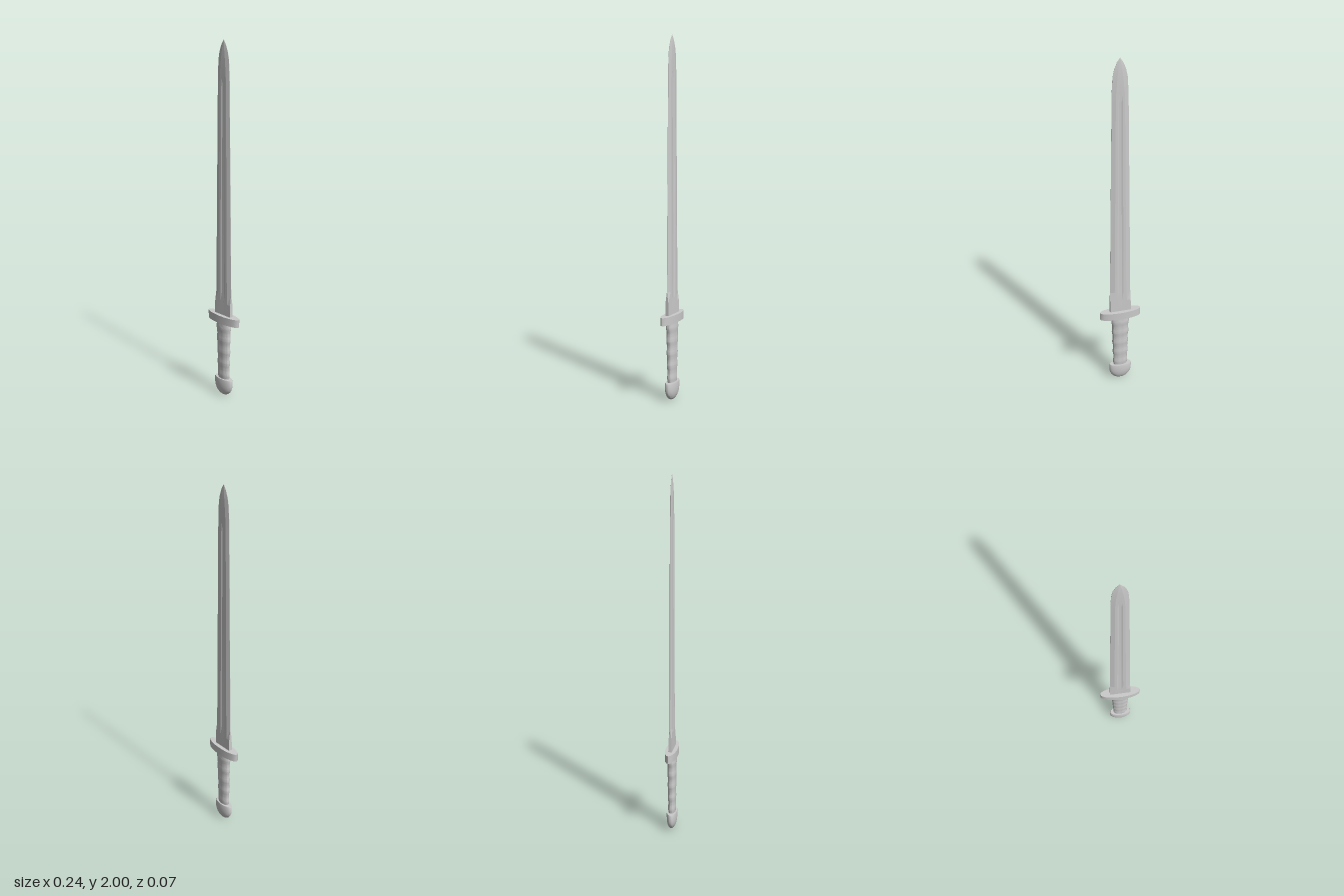
import * as THREE from 'three';
import { toCreasedNormals } from 'three/addons/utils/BufferGeometryUtils.js';

const material = new THREE.MeshStandardMaterial({ color: 0xcccccc });

function addPart(group, name, geometry, crease = 0.6) {
  const mesh = new THREE.Mesh(toCreasedNormals(geometry, crease), material);
  mesh.name = name;
  group.add(mesh);
}

// Turned profile flattened front to back
function flatLathe(points, depth, sides = 32) {
  const profile = points.map(([r, y]) => new THREE.Vector2(r, y));
  return new THREE.LatheGeometry(profile, sides).scale(1, 1, depth);
}

// One blade cross-section: w half width, e edge thickness, s shoulder,
// t body thickness, f fuller half width, g thickness inside the fuller
function bladeSection([y, w, e, s, t, f, g]) {
  const front = [[w, e], [s, t], [f, t], [f * 0.5, g], [-f * 0.5, g], [-f, t], [-s, t], [-w, e]];
  const back = front.map(([x, z]) => [-x, -z]);
  return [...front, ...back].map(([x, z]) => [x, y, z]);
}

// Skin a stack of equal-sized loops, bottom to top
function loft(sections) {
  const n = sections[0].length;
  const index = [];
  for (let j = 0; j < sections.length - 1; j++) {
    for (let i = 0; i < n; i++) {
      const a = j * n + i, b = j * n + (i + 1) % n;
      index.push(a, a + n, b, b, a + n, b + n);
    }
  }
  const last = (sections.length - 1) * n;
  for (let i = 1; i < n - 1; i++) {
    index.push(0, i, i + 1, last, last + i + 1, last + i);
  }
  const geometry = new THREE.BufferGeometry();
  geometry.setAttribute('position', new THREE.Float32BufferAttribute(sections.flat(2), 3));
  geometry.setIndex(index);
  return geometry;
}

export function createModel() {
  const sword = new THREE.Group();
  sword.name = 'sword';

  // Blade: rectangular root, bevelled fullered body, pointed tip
  const blade = [
    [0.47, 0.0615, 0.01, 0.04, 0.01, 0.018, 0.01],
    [0.56, 0.0605, 0.009, 0.038, 0.0095, 0.018, 0.0095],
    [0.62, 0.0595, 0.001, 0.034, 0.009, 0.018, 0.006],
    [1.2, 0.052, 0.001, 0.029, 0.008, 0.015, 0.005],
    [1.76, 0.0445, 0.001, 0.024, 0.007, 0.012, 0.0045],
    [1.82, 0.0435, 0.001, 0.022, 0.007, 0.011, 0.007],
    [1.9, 0.039, 0.001, 0.015, 0.0065, 0.007, 0.0065],
    [1.94, 0.031, 0.001, 0.010, 0.0055, 0.004, 0.0055],
    [1.975, 0.017, 0.001, 0.005, 0.0035, 0.002, 0.0035],
    [2.0, 0.0006, 0.0003, 0.0003, 0.0004, 0.0001, 0.0004],
  ];
  addPart(sword, 'blade', loft(blade.map(bladeSection)), 0.12);

  // Oval cross-guard
  const guard = new THREE.CylinderGeometry(1, 1, 0.045, 20).rotateY(Math.PI / 2);
  guard.scale(0.12, 1, 0.033).translate(0, 0.4675, 0);
  addPart(sword, 'guard', guard, 0.9);

  // Tapered oval grip with raised rings
  const grip = [];
  const rings = 5, steps = 50;
  for (let i = 0; i <= steps; i++) {
    const k = i / steps;
    const ridge = Math.pow(Math.abs(Math.sin(k * rings * Math.PI)), 3);
    grip.push([0.039 + 0.011 * k + 0.0035 * ridge, 0.09 + 0.36 * k]);
  }
  addPart(sword, 'grip', flatLathe(grip, 0.5), 0.8);

  // Domed pommel with a flat top
  const pommel = [];
  for (let i = 0; i <= 12; i++) {
    const a = (i / 12) * Math.PI / 2;
    pommel.push([0.066 * Math.sin(a), 0.07 - 0.07 * Math.cos(a)]);
  }
  pommel.push([0.066, 0.098], [0.063, 0.104], [0, 0.104]);
  addPart(sword, 'pommel', flatLathe(pommel, 0.43));

  return sword;
}
